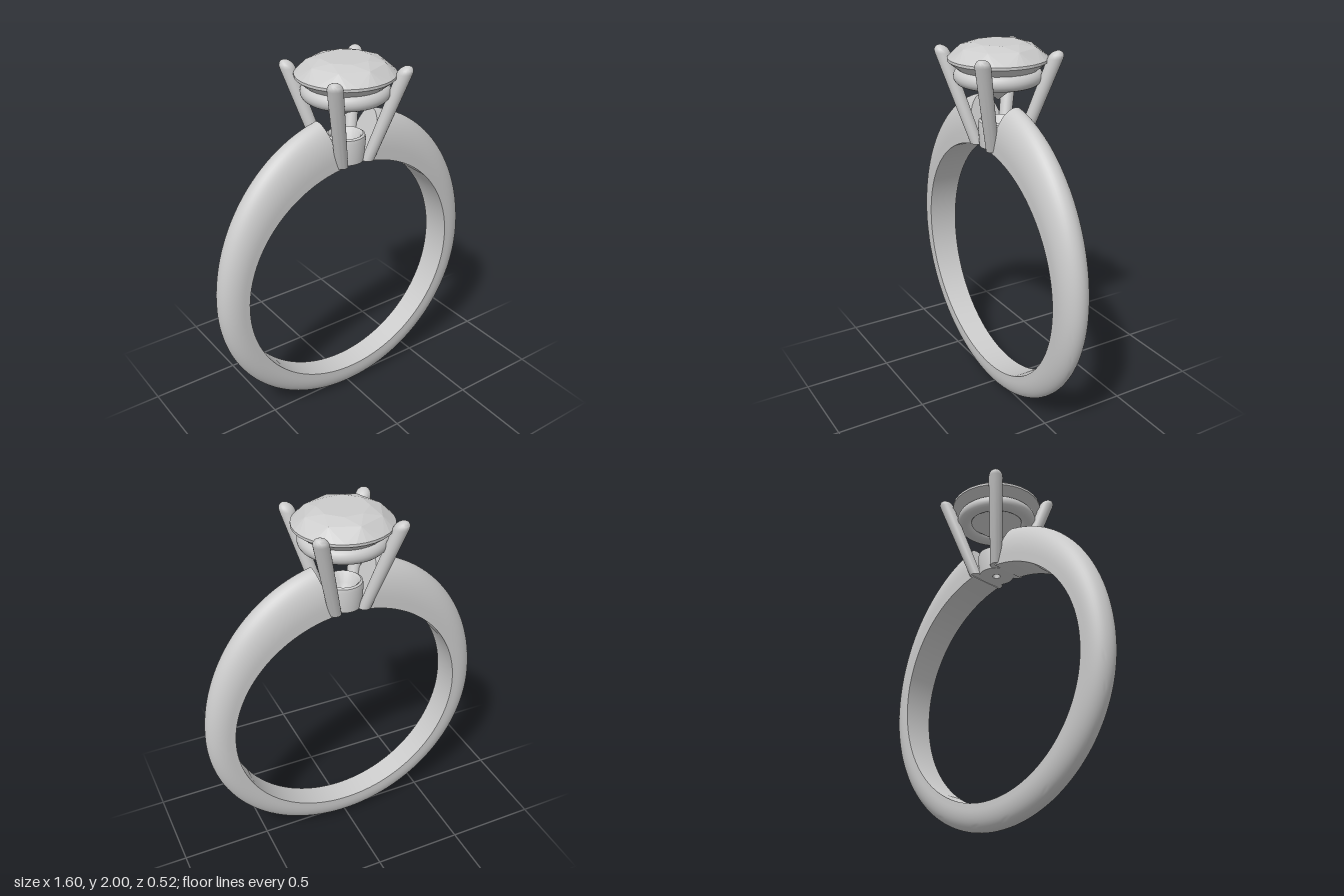
import * as THREE from 'three';
import { toCreasedNormals } from 'three/addons/utils/BufferGeometryUtils.js';
import { ConvexGeometry } from 'three/addons/geometries/ConvexGeometry.js';

const CENTRE = 0.8, INNER = 0.66;
const metal = new THREE.MeshStandardMaterial({ color: 0xcccccc });
const facet = new THREE.MeshStandardMaterial({ color: 0xcccccc, flatShading: true });
const lathe = (pts, seg) => new THREE.LatheGeometry(pts.map(p => new THREE.Vector2(...p)), seg);

// Point on the band: phi runs from the top round the ring, a goes over the D section
function bandPoint(phi, a) {
  const c = Math.cos(phi), s = Math.sin(phi);
  const outer = 1 / Math.hypot(s / 0.8, c / (c > 0 ? 0.92 : 0.8));
  const lift = a < 0 || a > Math.PI ? 0 : 0.22 + 0.78 * Math.sin(a);
  const side = a < 0 ? 1 : a > Math.PI ? -1 : Math.cos(a);
  const r = INNER + (outer - INNER) * lift;
  return [r * s, CENTRE + r * c, side * (0.083 + 0.015 * c)];
}

// Angle where the band meets the sloping cut beside the setting
function cutAngle(a) {
  let phi = 0.15;
  for (let i = 0; i < 10; i++) {
    const y = bandPoint(phi, a)[1];
    phi = Math.atan2(0.09 + (y - 1.46) * 0.33, y - CENTRE);
  }
  return phi;
}

function bandGeometry(steps = 128, arc = 24) {
  const angles = [-1];
  for (let i = 0; i <= arc; i++) angles.push((Math.PI * i) / arc);
  angles.push(4);
  const n = angles.length, cuts = angles.map(cutAngle);
  const pos = [], index = [];
  for (let j = 0; j <= steps; j++) {
    angles.forEach((a, k) => {
      const phi = THREE.MathUtils.lerp(cuts[k], 2 * Math.PI - cuts[k], j / steps);
      pos.push(...bandPoint(phi, a));
    });
  }
  for (let j = 0; j < steps; j++) {
    for (let k = 0; k < n; k++) {
      const p = j * n + k, q = j * n + (k + 1) % n;
      index.push(p, p + n, q + n, p, q + n, q);
    }
  }
  const end = steps * n;
  for (let k = 1; k < n - 1; k++) index.push(0, k, k + 1, end, end + k + 1, end + k);
  const g = new THREE.BufferGeometry();
  g.setAttribute('position', new THREE.Float32BufferAttribute(pos, 3));
  g.setIndex(index);
  return toCreasedNormals(g, 0.7);
}

// Sloping claw with a flat foot and a domed tip
function prongGeometry() {
  const pts = [[0, 0], [0.033, 0], [0.04, 0.47]];
  for (let i = 1; i <= 6; i++) {
    const t = (i / 6) * Math.PI / 2;
    pts.push([0.04 * Math.cos(t), 0.47 + 0.04 * Math.sin(t)]);
  }
  const g = lathe(pts, 24), p = g.attributes.position;
  for (let i = 0; i < p.count; i++) {
    const shift = 0.083 + p.getY(i) * 0.265;
    p.setXYZ(i, p.getX(i) + shift, p.getY(i) + 1.46, p.getZ(i) + shift);
  }
  return toCreasedNormals(g, 0.7);
}

// Faceted stone: table, crown corners, girdle and point
function stoneGeometry() {
  const pts = [new THREE.Vector3(0, 1.7, 0)];
  const ring = (r, y, count, turn) => {
    for (let i = 0; i < count; i++) {
      const t = ((i + turn) / count) * Math.PI * 2;
      pts.push(new THREE.Vector3(r * Math.sin(t), y, r * Math.cos(t)));
    }
  };
  ring(0.13, 2, 8, 0.5);
  ring(0.2, 1.978, 8, 0);
  ring(0.258, 1.922, 32, 0);
  ring(0.258, 1.908, 32, 0);
  ring(0.125, 1.802, 8, 0);
  return new ConvexGeometry(pts);
}

export function createModel() {
  const model = new THREE.Group();
  const add = (name, geometry, material = metal) => {
    const mesh = new THREE.Mesh(geometry, material);
    mesh.name = name;
    model.add(mesh);
    return mesh;
  };

  add('band', bandGeometry());

  // Hollow cup between the band ends, with a small hole below
  add('settingCup', toCreasedNormals(lathe([
    [0.022, 1.457], [0.098, 1.457], [0.105, 1.575], [0.101, 1.593], [0.09, 1.6],
    [0.078, 1.59], [0.065, 1.545], [0.042, 1.515], [0.022, 1.505], [0.022, 1.457],
  ], 48), 0.7));

  // Four claws
  const prong = prongGeometry();
  for (let i = 0; i < 4; i++) add('prong' + (i + 1), prong).rotation.y = i * Math.PI / 2;

  // Ring under the stone
  const support = add('supportRing', new THREE.TorusGeometry(0.187, 0.042, 20, 64));
  support.rotation.x = Math.PI / 2;
  support.position.y = 1.828;

  add('stone', stoneGeometry(), facet);
  return model;
}
